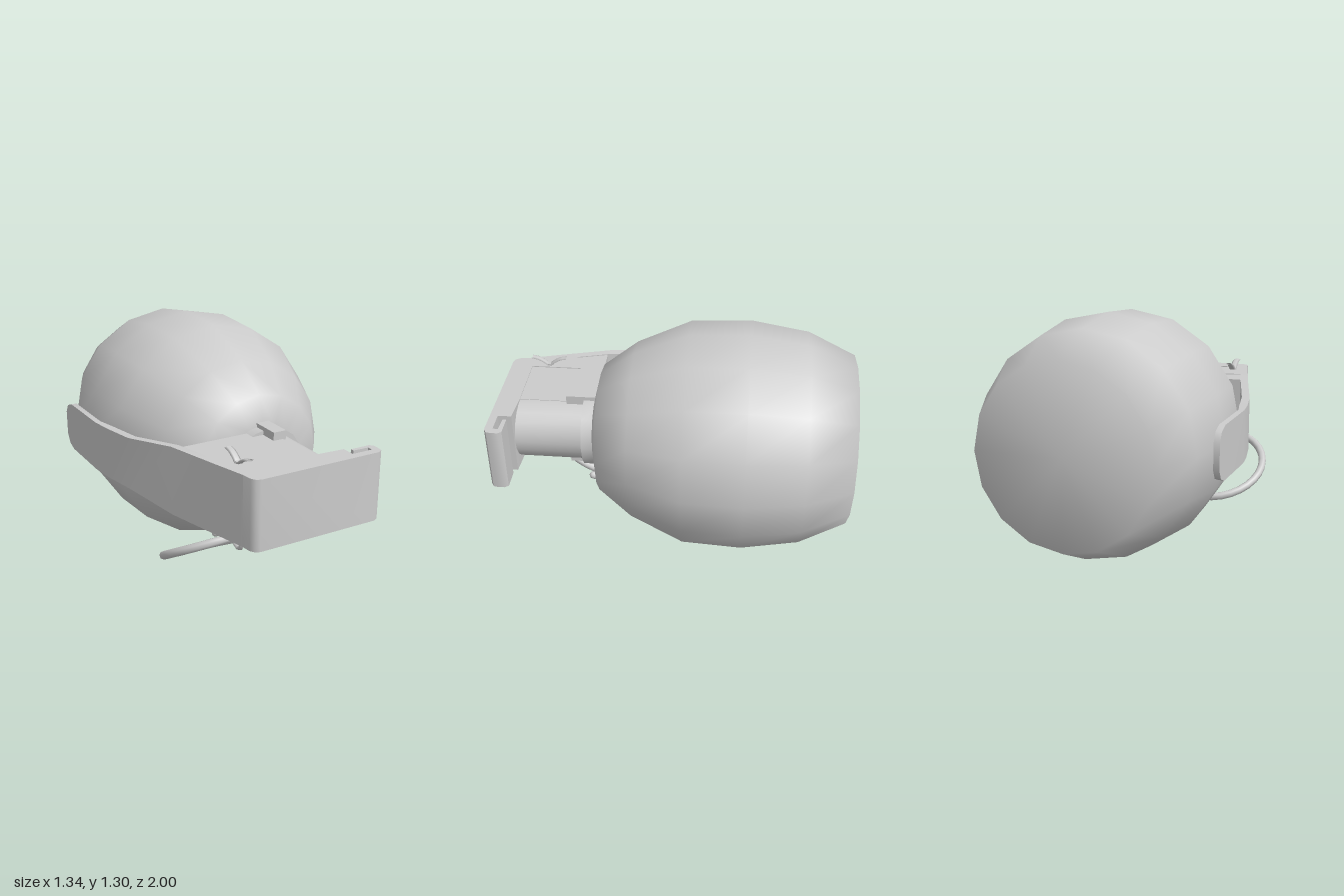
import * as THREE from 'three';
import { toCreasedNormals } from 'three/addons/utils/BufferGeometryUtils.js';

const MID = 0.65; // height of the long axis
const AXIS = 0.02; // sideways position of the long axis

export function createModel() {
  const group = new THREE.Group();
  const material = new THREE.MeshStandardMaterial({ color: 0xcccccc, side: THREE.DoubleSide });

  function add(name, geometry, x = 0, y = 0, z = 0) {
    const mesh = new THREE.Mesh(geometry, material);
    mesh.name = name;
    mesh.position.set(x, y, z);
    group.add(mesh);
    return mesh;
  }

  // Turned part along z from [radius, z] pairs
  function turned(profile, sides) {
    const points = profile.map(([r, z]) => new THREE.Vector2(r, z));
    return new THREE.LatheGeometry(points, sides).rotateX(Math.PI / 2);
  }

  // Plan outline of [x, z] pairs, extruded upward and centred on y = 0
  function slab(outline, height) {
    const shape = new THREE.Shape(outline.map(([x, z]) => new THREE.Vector2(x, -z)));
    const geometry = new THREE.ExtrudeGeometry(shape, { depth: height, bevelEnabled: false });
    geometry.rotateX(-Math.PI / 2).translate(0, -height / 2, 0);
    return toCreasedNormals(geometry, 0.7);
  }

  // Faceted, smooth-shaded barrel body
  add('body', turned([
    [0, -1], [0.48, -1], [0.6, -0.74], [0.65, -0.42], [0.635, -0.09],
    [0.505, 0.21], [0.365, 0.4], [0.2, 0.44], [0, 0.44],
  ], 16), AXIS, 0.655, 0);

  // Neck, collar and the lug crossing it
  add('neck', toCreasedNormals(turned([[0, 0.4], [0.185, 0.4], [0.185, 0.9], [0, 0.9]], 20), 0.7), AXIS, MID, 0);
  add('collar', toCreasedNormals(turned([[0, 0.42], [0.215, 0.42], [0.215, 0.5], [0, 0.5]], 16), 0.7), AXIS, MID, 0);
  add('lug', new THREE.BoxGeometry(0.075, 0.46, 0.17), AXIS, MID, 0.515);
  add('housing', slab([[-0.47, 0.44], [0.04, 0.44], [0.04, 0.95], [-0.36, 0.95]], 0.37), 0, MID, 0);

  // Lever head with the hooked free end
  add('leverHead', slab([
    [-0.43, 0.62], [-0.38, 0.96], [-0.365, 0.985], [-0.34, 0.995], [0.35, 1], [0.375, 0.985], [0.38, 0.96],
    [0.38, 0.92], [0.365, 0.9], [0.25, 0.9], [0.25, 0.92], [0.34, 0.925], [0.34, 0.955],
    [0.22, 0.955], [0.22, 0.88], [0.05, 0.87], [-0.3, 0.87], [-0.3, 0.58],
  ], 0.38), 0, MID, 0);

  // Lever strip: rectangular sections [outer x, z, half width]
  const stations = [
    [-0.37, 0.97, 0.19], [-0.44, 0.72, 0.19], [-0.52, 0.42, 0.19], [-0.615, 0.1, 0.148],
    [-0.655, -0.1, 0.146], [-0.67, -0.22, 0.145], [-0.67, -0.58, 0.142],
    [-0.67, -0.64, 0.12], [-0.67, -0.67, 0.07],
  ];
  const positions = [];
  const indices = [];
  stations.forEach(([x, z, half], i) => {
    const inner = x + (i < 5 ? 0.045 : 0.032);
    positions.push(x, half, z, inner, half, z, inner, -half, z, x, -half, z);
    if (i === 0) return;
    for (let k = 0; k < 4; k++) {
      const a = (i - 1) * 4 + k;
      const b = (i - 1) * 4 + ((k + 1) % 4);
      indices.push(a, b, a + 4, b, b + 4, a + 4);
    }
  });
  const last = (stations.length - 1) * 4;
  indices.push(0, 2, 1, 0, 3, 2, last, last + 1, last + 2, last, last + 2, last + 3);
  const strip = new THREE.BufferGeometry();
  strip.setAttribute('position', new THREE.Float32BufferAttribute(positions, 3));
  strip.setIndex(indices);
  add('leverStrip', toCreasedNormals(strip, 0.7), 0, MID, 0);

  // Safety pin with two splayed prongs and an eye
  add('pinShaft', new THREE.CylinderGeometry(0.018, 0.018, 0.42, 8), -0.33, 0.64, 0.77);
  for (const side of [-1, 1]) {
    const bend = new THREE.CatmullRomCurve3([
      [0, 0.835, 0.77], [0, 0.86, 0.77 + side * 0.03], [0, 0.88, 0.77 + side * 0.065], [0, 0.888, 0.77 + side * 0.1],
    ].map((p) => new THREE.Vector3(...p)));
    const prong = add('pinProng', new THREE.TubeGeometry(bend, 6, 0.007, 6), -0.33);
    prong.scale.x = 3;
  }
  const eye = add('pinEye', new THREE.TorusGeometry(0.038, 0.012, 6, 8), -0.33, 0.415, 0.77);
  eye.rotation.y = Math.PI / 2;

  // Split pull ring: a little over one turn of a flat helix, hung at a slant
  const slope = new THREE.Vector3(0, 0.48, 0.877);
  const normal = new THREE.Vector3(0, 0.877, -0.48);
  const ringPoints = [];
  const turns = 24;
  for (let i = 0; i <= turns; i++) {
    const t = i / turns;
    const angle = THREE.MathUtils.degToRad(-62 + t * 415);
    ringPoints.push(new THREE.Vector3(-0.31 + 0.285 * Math.cos(angle), 0.285, 0.51)
      .addScaledVector(slope, 0.285 * Math.sin(angle))
      .addScaledVector(normal, 0.04 - 0.065 * t));
  }
  const ringPath = new THREE.CatmullRomCurve3(ringPoints);
  add('pullRing', new THREE.TubeGeometry(ringPath, 36, 0.023, 8));
  for (const end of [ringPoints[0], ringPoints[turns]]) {
    add('ringEnd', new THREE.SphereGeometry(0.023, 8, 6), end.x, end.y, end.z);
  }

  return group;
}
